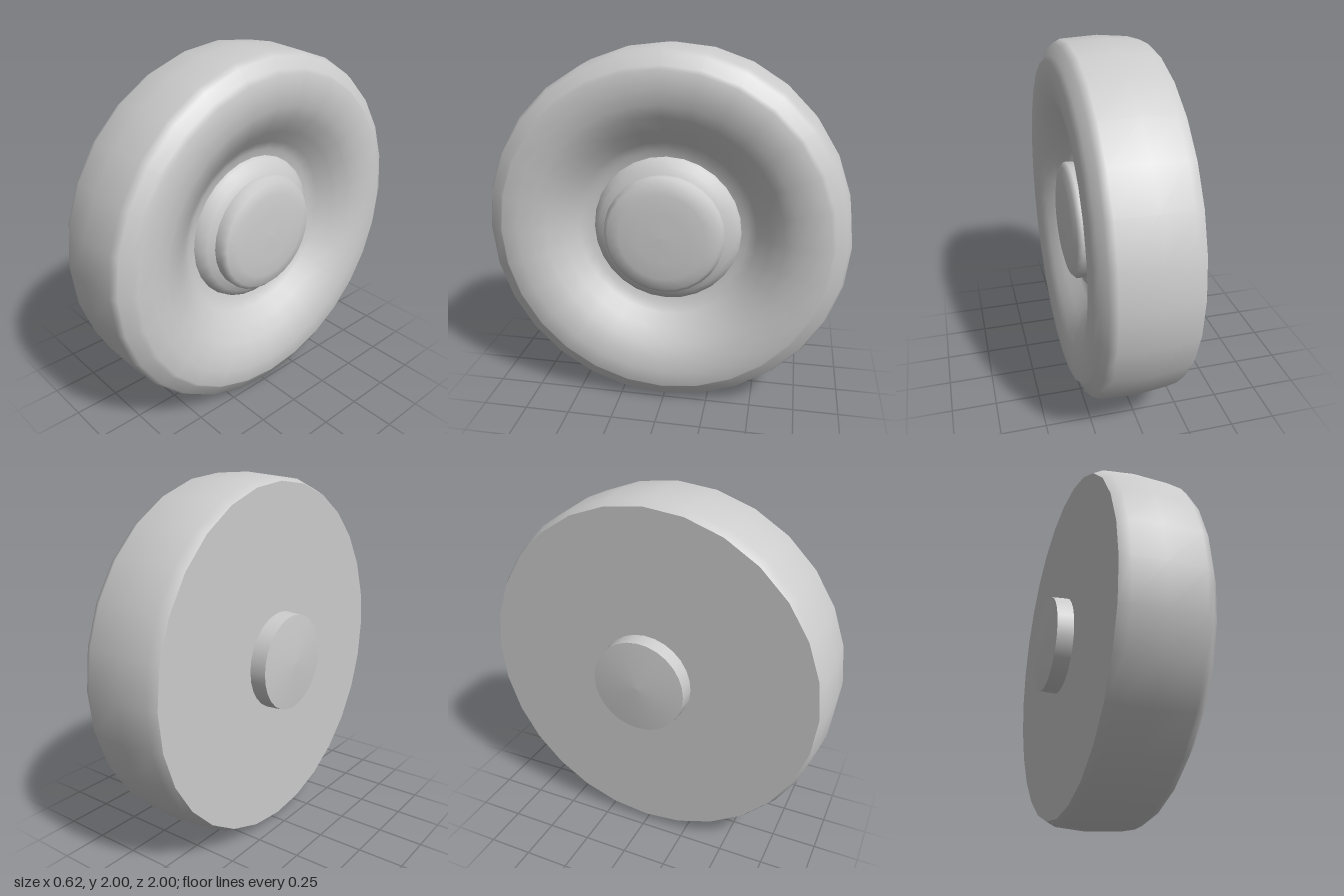
import * as THREE from 'three';

const SEGMENTS = 28;

export function createModel() {
  const model = new THREE.Group();
  const grey = new THREE.MeshStandardMaterial({ color: 0xcccccc });
  grey.name = 'light grey';

  // Turns an [x, radius] profile, listed from back to front, around the axle (x axis)
  const turn = (name, profile) => {
    const points = profile.map(([x, r]) => new THREE.Vector2(r, x));
    const geometry = new THREE.LatheGeometry(points, SEGMENTS);
    geometry.rotateZ(-Math.PI / 2);
    geometry.translate(0, 1, 0);
    const mesh = new THREE.Mesh(geometry, grey);
    mesh.name = name;
    model.add(mesh);
  };

  // Tread, rounded shoulder and the dished outer face
  turn('tyre', [
    [-0.2, 0.96], [-0.15, 0.985], [0.02, 1], [0.22, 0.99], [0.26, 0.97],
    [0.285, 0.91], [0.31, 0.89], [0.31, 0.8], [0.3, 0.72], [0.27, 0.65],
    [0.22, 0.57], [0.16, 0.5], [0.13, 0.45], [0.12, 0.39],
  ]);

  // Flat inner side of the wheel
  turn('backDisc', [[-0.2, 0], [-0.2, 0.96]]);

  // Sloping skirt around the hub
  turn('hubSkirt', [[0.1, 0.42], [0.15, 0.405], [0.18, 0.37], [0.2, 0.32]]);

  // Domed hub cap
  turn('hubCap', [
    [0.17, 0.33], [0.235, 0.33], [0.26, 0.305], [0.275, 0.24], [0.28, 0.14], [0.283, 0],
  ]);

  // Axle boss on the inner side, with a shallow domed end
  turn('axleBoss', [[-0.29, 0.265], [-0.2, 0.27]]);
  turn('axleBossEnd', [[-0.31, 0], [-0.305, 0.12], [-0.29, 0.265]]);

  return model;
}
